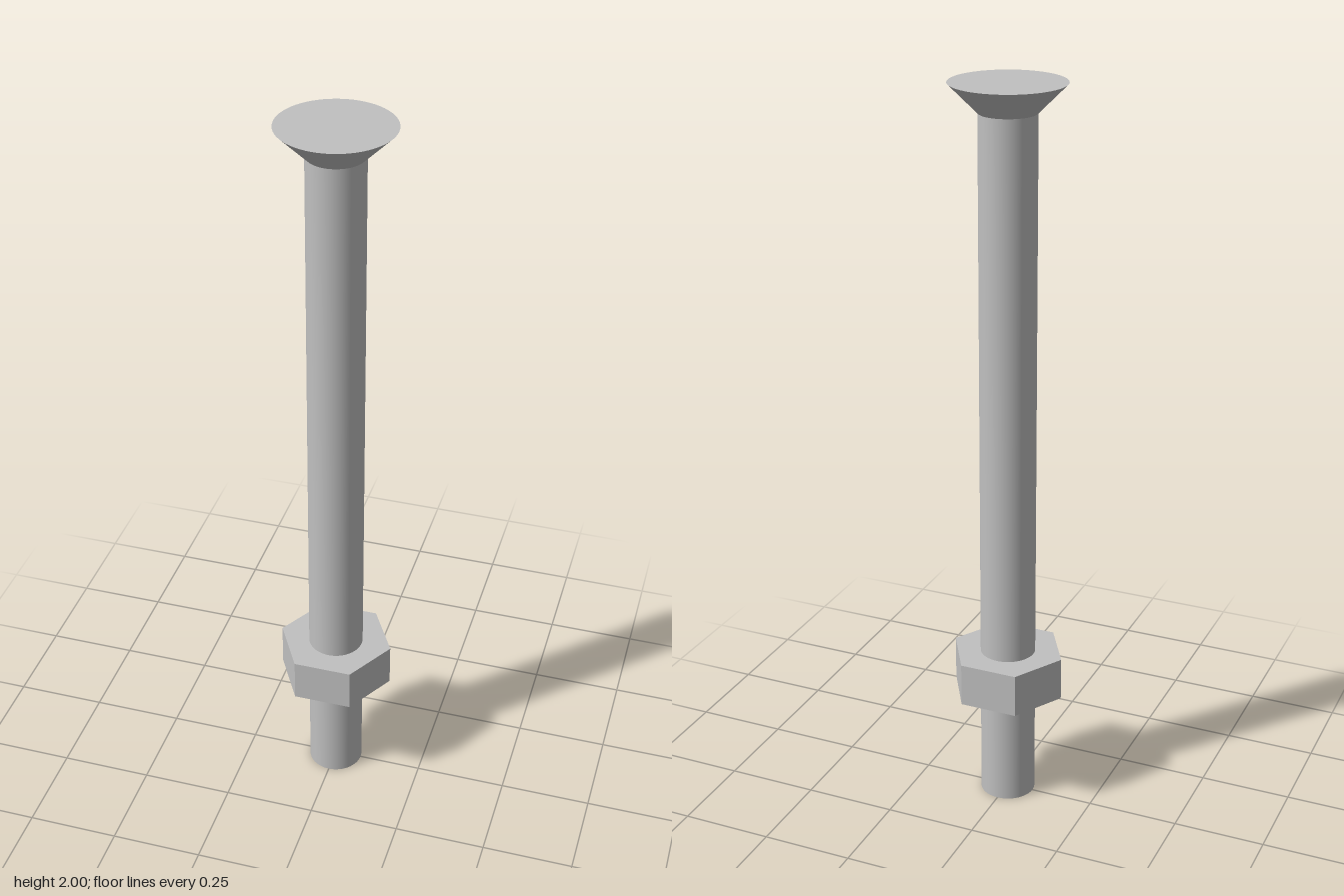
import * as THREE from 'three';

export function createModel() {
  const model = new THREE.Group();
  model.name = 'countersunkBoltWithNut';

  const steel = new THREE.MeshStandardMaterial({ color: 0xc0c0c0 });
  steel.name = 'steel';
  // Same steel, faceted for the nut
  const facetedSteel = steel;

  const shaftRadius = 0.075, headRadius = 0.15, headBase = 1.925;

  function add(name, geometry, y) {
    const mesh = new THREE.Mesh(geometry, facetedSteel);
    mesh.name = name;
    mesh.position.y = y;
    model.add(mesh);
  }

  // Plain round shaft
  add('shaft', new THREE.CylinderGeometry(shaftRadius, shaftRadius, headBase, 64), headBase / 2);

  // Countersunk head: a flat-topped cone flaring out from the shaft
  add('head', new THREE.CylinderGeometry(headRadius, shaftRadius, 2 - headBase, 64), (2 + headBase) / 2);

  // Hexagonal nut with a bore, corners pointing along x
  const nutRadius = 0.158, nutHeight = 0.12, nutBase = 0.317;
  const hexagon = new THREE.Shape();
  for (let i = 0; i < 6; i++) {
    const a = (i * Math.PI) / 3;
    hexagon[i ? 'lineTo' : 'moveTo'](nutRadius * Math.cos(a), nutRadius * Math.sin(a));
  }
  hexagon.closePath();
  const bore = new THREE.Path();
  bore.absarc(0, 0, shaftRadius, 0, Math.PI * 2, true);
  hexagon.holes.push(bore);
  const nut = new THREE.ExtrudeGeometry(hexagon, { depth: nutHeight, bevelEnabled: false, curveSegments: 64 });
  nut.rotateX(-Math.PI / 2);
  add('nut', nut, nutBase);

  return model;
}
